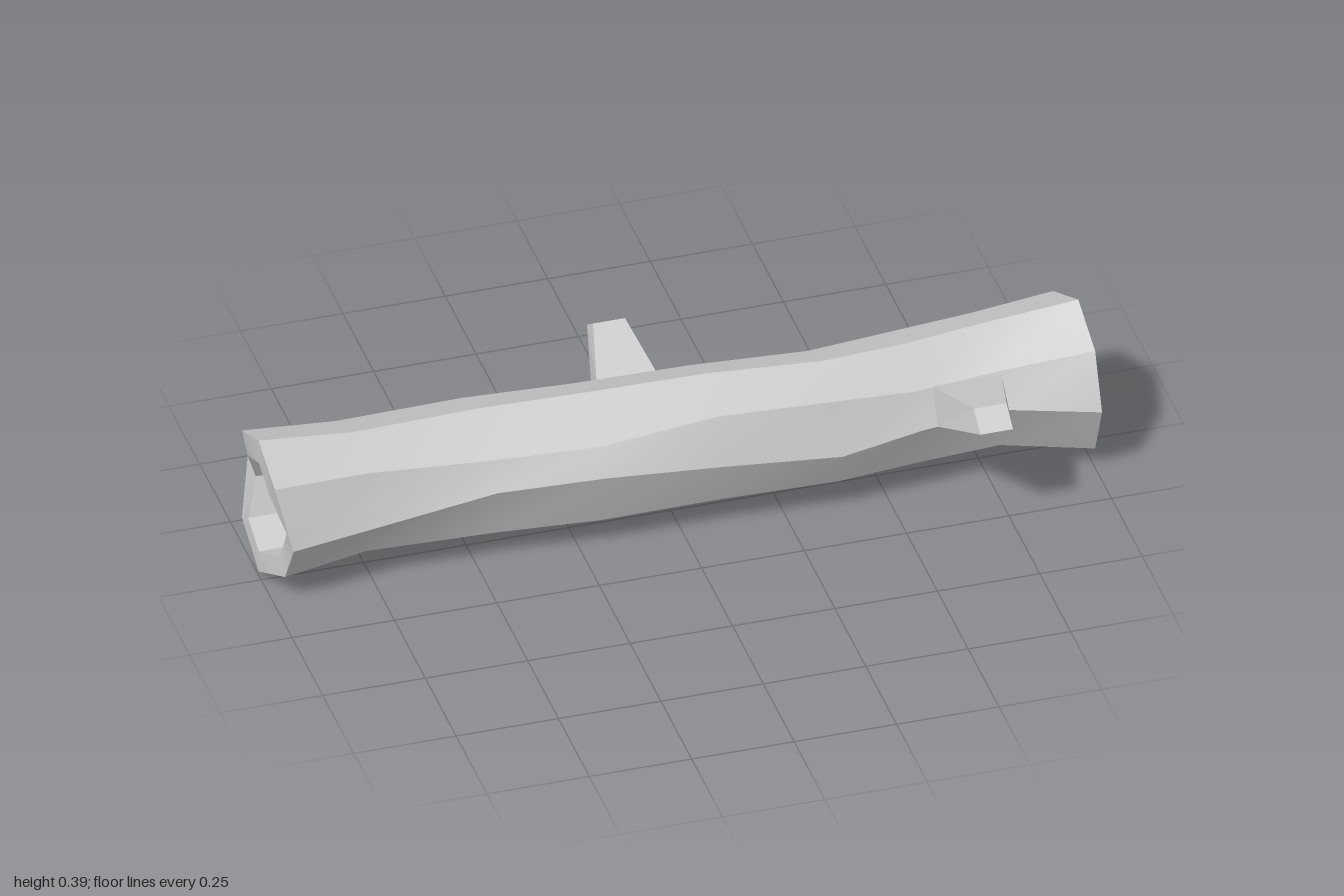
import * as THREE from 'three';
import { toCreasedNormals } from 'three/addons/utils/BufferGeometryUtils.js';

const AXIS_Y = 0.196, AXIS_Z = -0.019, BORE = 0.125;

// Uneven octagonal sections along the trunk:
// x, top y, bottom y, top z, front z, back z, upper front y, front y, lower front y, shoulder z front, shoulder z back
const SECTIONS = [
  [-1.00, 0.383, 0.012, -0.022, 0.163, -0.210, 0.330, 0.183, 0.078, 0.110, -0.157],
  [-0.77, 0.356, 0.033, -0.030, 0.130, -0.203, 0.314, 0.185, 0.095, 0.085, -0.157],
  [-0.46, 0.357, 0.035, -0.038, 0.120, -0.200, 0.288, 0.220, 0.083, 0.082, -0.163],
  [-0.20, 0.360, 0.034, -0.025, 0.140, -0.190, 0.288, 0.224, 0.080, 0.100, -0.143],
  [0.09, 0.356, 0.035, -0.025, 0.140, -0.186, 0.317, 0.200, 0.082, 0.100, -0.140],
  [0.37, 0.353, 0.043, 0.000, 0.163, -0.166, 0.317, 0.188, 0.090, 0.120, -0.120],
  [0.57, 0.355, 0.043, -0.010, 0.145, -0.185, 0.294, 0.211, 0.092, 0.102, -0.138],
  [0.78, 0.357, 0.042, -0.038, 0.125, -0.200, 0.293, 0.215, 0.083, 0.075, -0.157],
  [1.00, 0.390, 0.003, -0.019, 0.174, -0.215, 0.334, 0.197, 0.058, 0.118, -0.157],
];

// Chipped ends: how far each corner is set in, from the front round over the top
const LEFT_CHIPS = [0.03, 0, 0, 0, 0.03, 0, 0, 0.025];
const RIGHT_CHIPS = [0, 0, 0, 0.02, 0.027, 0, 0, 0];

function outerRing([x, top, bottom, topZ, front, back, upY, midY, lowY, upZ, backZ]) {
  const shoulder = AXIS_Y + 0.68 * (top - AXIS_Y);
  return [
    [x, midY, front], [x, upY, upZ], [x, top, topZ], [x, shoulder, backZ],
    [x, 0.208, back], [x, lowY, backZ], [x, bottom, topZ], [x, lowY, upZ],
  ];
}

function boreRing(x) {
  return Array.from({ length: 8 }, (_, k) => {
    const a = k * Math.PI / 4;
    return [x, AXIS_Y + BORE * Math.sin(a), AXIS_Z + BORE * Math.cos(a)];
  });
}

// Closed hollow shell: bore end, outside, other bore end, and back through the bore
function trunkGeometry() {
  const outer = SECTIONS.map(outerRing);
  const rings = [boreRing(-1), ...outer, boreRing(1)];
  const n = rings.length;
  for (let k = 0; k < 8; k++) {
    rings[0][k][0] += LEFT_CHIPS[k];
    rings[1][k][0] += LEFT_CHIPS[k];
    rings[n - 2][k][0] -= RIGHT_CHIPS[k];
    rings[n - 1][k][0] -= RIGHT_CHIPS[k];
  }
  const index = [];
  for (let i = 0; i < n; i++) {
    for (let k = 0; k < 8; k++) {
      const j = (i + 1) % n, m = (k + 1) % 8;
      const a = i * 8 + k, b = j * 8 + k, c = j * 8 + m, d = i * 8 + m;
      index.push(a, b, c, a, c, d);
    }
  }
  const geo = new THREE.BufferGeometry();
  geo.setAttribute('position', new THREE.Float32BufferAttribute(rings.flat(2), 3));
  geo.setIndex(index);
  return toCreasedNormals(geo, 0.4);
}

// Tapered four-sided stub; base and tip each give [x half width, upper [z, y], lower [z, y]]
function stubGeometry(x, base, tip) {
  const geo = new THREE.BoxGeometry(1, 1, 1);
  const pos = geo.attributes.position;
  const out = Math.sign(tip[1][0]);
  for (let i = 0; i < pos.count; i++) {
    const row = pos.getY(i) > 0 ? 1 : 2;
    // the base is sunk a little way into the wall
    const t = pos.getZ(i) * out > 0 ? 1 : -0.1;
    const mix = (a, b) => a + (b - a) * t;
    pos.setXYZ(i,
      x + Math.sign(pos.getX(i)) * mix(base[0], tip[0]),
      mix(base[row][1], tip[row][1]),
      mix(base[row][0], tip[row][0]));
  }
  geo.computeVertexNormals();
  return geo;
}

export function createModel() {
  const group = new THREE.Group();
  group.name = 'hollowLog';
  const smooth = new THREE.MeshStandardMaterial({ color: 0xcccccc });
  const flat = new THREE.MeshStandardMaterial({ color: 0xcccccc, flatShading: true });
  const add = (name, geo, mat) => {
    const mesh = new THREE.Mesh(geo, mat);
    mesh.name = name;
    group.add(mesh);
  };

  add('trunk', trunkGeometry(), smooth);

  // Broken branch stubs
  add('frontBranchStub', stubGeometry(0.692,
    [0.08, [0.12, 0.306], [0.16, 0.222]],
    [0.04, [0.29, 0.352], [0.343, 0.313]]), flat);
  add('upperBackBranchStub', stubGeometry(-0.062,
    [0.07, [-0.167, 0.297], [-0.205, 0.233]],
    [0.039, [-0.297, 0.357], [-0.346, 0.322]]), flat);
  add('lowerBackBranchStub', stubGeometry(-0.63,
    [0.052, [-0.195, 0.165], [-0.172, 0.1]],
    [0.026, [-0.33, 0.085], [-0.293, 0.042]]), flat);

  return group;
}
